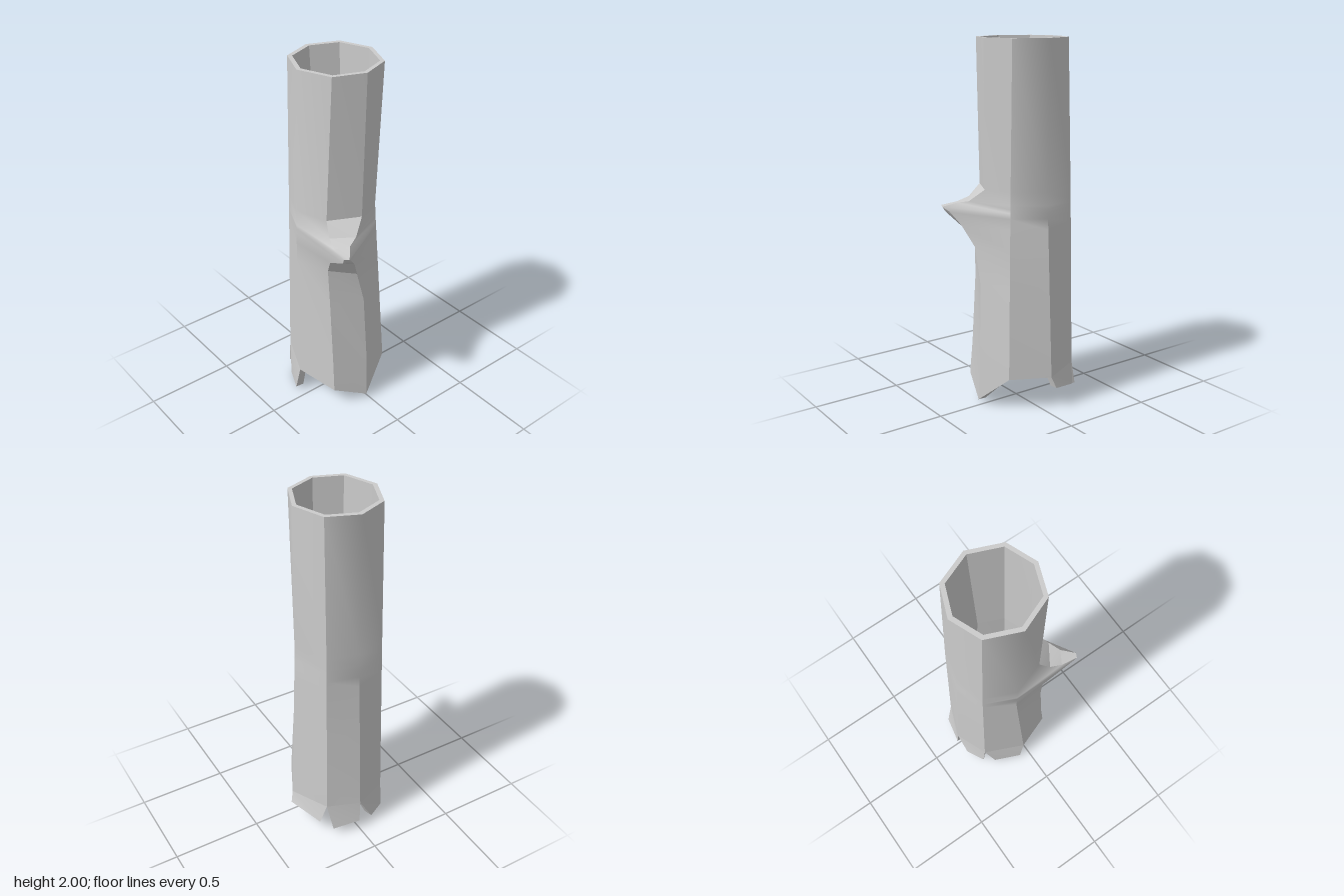
import * as THREE from 'three';

const V = (p) => new THREE.Vector3(...p);

// Heights of the rings that the plain trunk columns share
const ROWS = [2, 1.21, 1.14, 1.12, 1.1, 1.07, 1.01, 0.9, 0.7, 0.3];
const SHARP_BELOW = 6; // from this ring down every column is a hard edge

// Two columns that swing out to form the broken branch, one point per ring
const branchBack = [
  [0.2, 2, 0.005], [0.19, 1.21, 0.02], [0.24, 1.14, 0.1], [0.27, 1.125, 0.165],
  [0.335, 1.1, 0.22], [0.3, 1.07, 0.19], [0.265, 1.0, 0.13], [0.22, 0.89, 0.075],
  [0.22, 0.7, 0.025], [0.235, 0.3, 0.01], [0.245, 0.03, 0.015],
].map(V);
const branchFront = [
  [0.137, 2, 0.171], [0.11, 1.21, 0.19], [0.165, 1.14, 0.215], [0.23, 1.115, 0.235],
  [0.322, 1.105, 0.246], [0.305, 1.07, 0.24], [0.195, 1.015, 0.235], [0.137, 0.92, 0.205],
  [0.14, 0.7, 0.195], [0.165, 0.3, 0.195], [0.18, 0.115, 0.2],
].map(V);

// Plain column: straight between a top, middle and hem point
function column(...points) {
  const [top, mid, hem] = points.map(V);
  const at = (y) => y > mid.y
    ? mid.clone().lerp(top, (y - mid.y) / (top.y - mid.y))
    : hem.clone().lerp(mid, (y - hem.y) / (mid.y - hem.y));
  return [...ROWS.map(at), hem];
}

// Eight columns from +x round through +z
const columns = [
  branchBack,
  branchFront,
  column([-0.043, 2, 0.243], [-0.075, 1, 0.25], [-0.03, 0.175, 0.285]),
  column([-0.22, 2, 0.169], [-0.24, 1.15, 0.175], [-0.255, 0.2, 0.19]),
  column([-0.286, 2, 0.003], [-0.287, 1.15, 0.005], [-0.33, 0.2, 0.005]),
  column([-0.22, 2, -0.162], [-0.245, 1.15, -0.165], [-0.26, 0.2, -0.175]),
  column([-0.043, 2, -0.232], [-0.035, 1.15, -0.235], [-0.04, 0.19, -0.275]),
  column([0.137, 2, -0.158], [0.125, 1.2, -0.125], [0.168, 0.19, -0.17]),
];

// Pull a point toward the trunk axis to get the inside of the wall
const inward = (p, k = 0.84) => new THREE.Vector3(-0.03 + (p.x + 0.03) * k, p.y, p.z * k);

// Indexed mesh; corners with the same key share a smooth normal
function makeBuilder() {
  const pos = [], index = [], seen = new Map();
  const vertex = (p, key) => {
    if (key !== undefined && seen.has(key)) return seen.get(key);
    const id = pos.length / 3;
    pos.push(p.x, p.y, p.z);
    if (key !== undefined) seen.set(key, id);
    return id;
  };
  return {
    // a, b along the upper edge, c, d below them
    quad(points, keys = []) {
      const [a, b, c, d] = points.map((p, i) => vertex(p, keys[i]));
      index.push(a, b, c, b, d, c);
    },
    mesh(name) {
      const g = new THREE.BufferGeometry();
      g.setAttribute('position', new THREE.Float32BufferAttribute(pos, 3));
      g.setIndex(index);
      g.computeVertexNormals();
      const m = new THREE.Mesh(g, new THREE.MeshStandardMaterial({ color: 0xcccccc, side: THREE.DoubleSide }));
      m.name = name;
      return m;
    },
  };
}

// Outer bark: pairs of strips are smooth above, faceted below
function makeBark() {
  const b = makeBuilder();
  for (let i = 0; i < 8; i++) {
    const j = (i + 1) % 8;
    const panel = Math.floor(((i + 7) % 8) / 2);
    for (let r = 0; r < ROWS.length; r++) {
      const corners = [[r, i], [r, j], [r + 1, i], [r + 1, j]];
      const inBranch = r >= 1 && r < 7 && i === 0;
      b.quad(
        corners.map(([row, c]) => columns[c][row]),
        corners.map(([row, c]) => inBranch ? undefined
          : `${row},${c},${row < SHARP_BELOW && i !== 0 && i !== 7 ? 'p' + panel : 's' + i}`),
      );
    }
  }
  return b.mesh('bark');
}

// Hollow core with its top rim and lower rim
function makeCore() {
  const b = makeBuilder();
  const rings = columns.map((col, i) => {
    const a = i * Math.PI / 4;
    return [
      col[0],
      inward(col[0], 0.9),
      new THREE.Vector3(-0.02 + 0.19 * Math.cos(a), 1.2, 0.003 + 0.19 * Math.sin(a)),
      inward(col[10]),
      col[10],
    ];
  });
  for (let i = 0; i < 8; i++) {
    const p = rings[i], q = rings[(i + 1) % 8];
    for (let r = 0; r < 4; r++) b.quad([q[r], p[r], q[r + 1], p[r + 1]]);
  }
  return b.mesh('hollowCore');
}

// Splintered root: a thick tapering flap hanging from one hem edge
function makeRoot(i, tipA, tipB) {
  const b = makeBuilder();
  const outer = [columns[i][10], columns[(i + 1) % 8][10], V(tipA), V(tipB)];
  const [a, c, d, e] = outer;
  const [A, C, D, E] = outer.map((p) => inward(p));
  b.quad([a, c, d, e]);
  b.quad([C, A, E, D]);
  b.quad([A, a, D, d]);
  b.quad([c, C, e, E]);
  b.quad([d, e, D, E]);
  return b.mesh('root');
}

export function createModel() {
  const model = new THREE.Group();
  model.name = 'hollowTrunk';
  model.add(makeBark(), makeCore());
  model.add(
    makeRoot(2, [-0.06, 0.03, 0.295], [-0.205, 0.005, 0.225]),
    makeRoot(3, [-0.268, 0.05, 0.19], [-0.322, 0.05, 0.09]),
    makeRoot(4, [-0.335, 0.065, 0], [-0.302, 0.05, -0.155]),
    makeRoot(5, [-0.24, 0.08, -0.208], [-0.06, 0.13, -0.295]),
  );
  return model;
}
